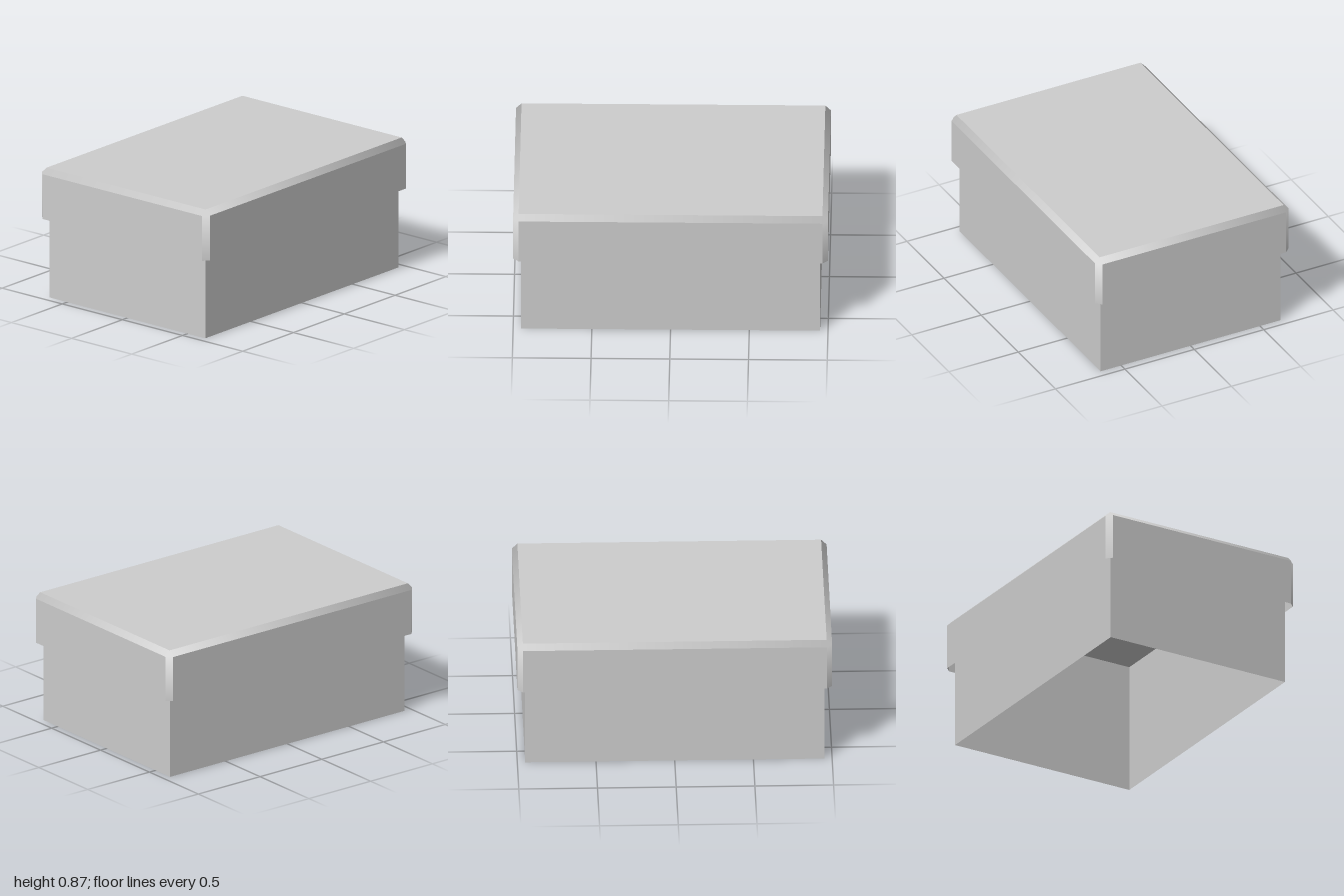
import * as THREE from 'three';

// Builds a geometry from convex faces; each face is a list of [position, normal] corners.
// Corner order is flipped where needed so that the face looks along its normals.
function facesGeometry(faces) {
  const pos = [], nor = [];
  for (const face of faces) {
    const p = face.map(c => new THREE.Vector3(...c[0]));
    const n = face.map(c => new THREE.Vector3(...c[1]).normalize());
    const facing = new THREE.Vector3().crossVectors(
      p[1].clone().sub(p[0]), p[2].clone().sub(p[0]));
    const flip = facing.dot(n[0].clone().add(n[1]).add(n[2])) < 0;
    for (let i = 1; i < p.length - 1; i++) {
      for (const k of flip ? [0, i + 1, i] : [0, i, i + 1]) {
        pos.push(...p[k].toArray());
        nor.push(...n[k].toArray());
      }
    }
  }
  const g = new THREE.BufferGeometry();
  g.setAttribute('position', new THREE.Float32BufferAttribute(pos, 3));
  g.setAttribute('normal', new THREE.Float32BufferAttribute(nor, 3));
  return g;
}

const flat = (normal, ...points) => points.map(p => [p, normal]);

// Four upright sheets, open at top and bottom
function bodyGeometry(x, z, top) {
  const faces = [];
  for (const s of [1, -1]) {
    faces.push(flat([0, 0, s], [-x, 0, s * z], [x, 0, s * z], [x, top, s * z], [-x, top, s * z]));
    faces.push(flat([s, 0, 0], [s * x, 0, -z], [s * x, 0, z], [s * x, top, z], [s * x, top, -z]));
  }
  return facesGeometry(faces);
}

// Open-bottomed shell with one bevel along its top and upright edges
function lidGeometry(x, z, bottom, top, bevel) {
  const xi = x - bevel, zi = z - bevel, yi = top - bevel;
  const faces = [flat([0, 1, 0], [-xi, top, -zi], [xi, top, -zi], [xi, top, zi], [-xi, top, zi])];
  for (const s of [1, -1]) {
    // Side panels
    faces.push(flat([0, 0, s], [-xi, bottom, s * z], [xi, bottom, s * z], [xi, yi, s * z], [-xi, yi, s * z]));
    faces.push(flat([s, 0, 0], [s * x, bottom, -zi], [s * x, bottom, zi], [s * x, yi, zi], [s * x, yi, -zi]));
    // Top bevels, their shading blending towards the corners
    faces.push([
      [[-xi, yi, s * z], [-1, 1, s]], [[xi, yi, s * z], [1, 1, s]],
      [[xi, top, s * zi], [1, 1, s]], [[-xi, top, s * zi], [-1, 1, s]],
    ]);
    faces.push([
      [[s * x, yi, -zi], [s, 1, -1]], [[s * x, yi, zi], [s, 1, 1]],
      [[s * xi, top, zi], [s, 1, 1]], [[s * xi, top, -zi], [s, 1, -1]],
    ]);
    for (const t of [1, -1]) {
      // Upright bevel and corner facet
      const a = [s * x, yi, t * zi], b = [s * xi, yi, t * z];
      faces.push([
        [[s * x, bottom, t * zi], [s, 0, t]], [[s * xi, bottom, t * z], [s, 0, t]],
        [b, [s, 1, t]], [a, [s, 1, t]],
      ]);
      faces.push(flat([s, 1, t], a, b, [s * xi, top, t * zi]));
    }
  }
  return facesGeometry(faces);
}

export function createModel() {
  const model = new THREE.Group();
  model.name = 'lidded box';
  const card = new THREE.MeshStandardMaterial({ color: 0xcccccc, side: THREE.DoubleSide });
  card.name = 'grey card';

  const body = new THREE.Mesh(bodyGeometry(0.95, 0.648, 0.86), card);
  body.name = 'boxBody';
  const lid = new THREE.Mesh(lidGeometry(1, 0.697, 0.533, 0.867, 0.035), card);
  lid.name = 'lid';
  model.add(body, lid);
  return model;
}
